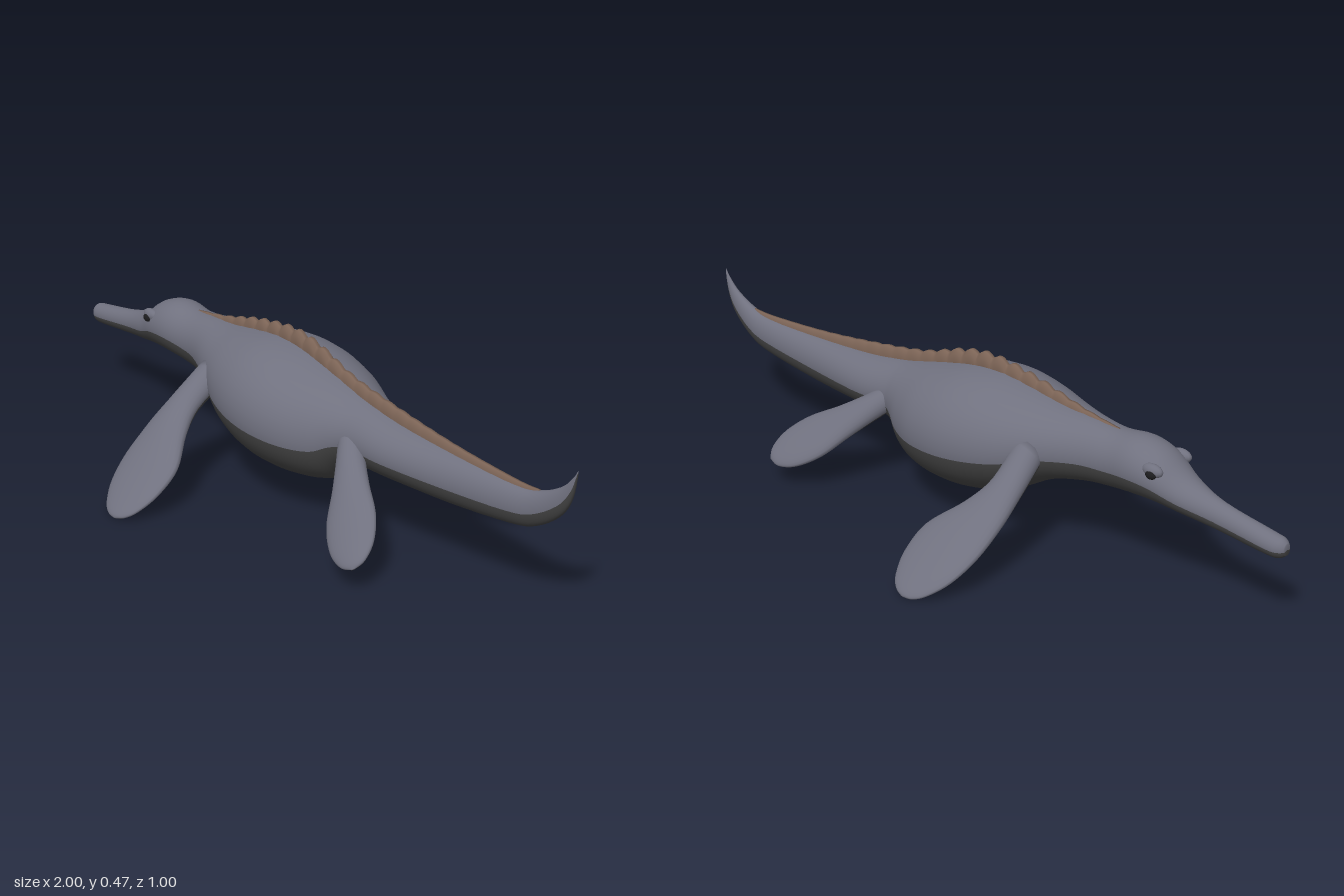
import * as THREE from 'three';

const mat = (name, color) => {
  const m = new THREE.MeshStandardMaterial({ color });
  m.name = name;
  return m;
};

// Smoothly resample rows of numbers, with `steps` samples between rows
function smoothRows(rows, steps) {
  const out = [];
  const last = rows.length - 1;
  for (let k = 0; k <= last * steps; k++) {
    const i = Math.min(Math.floor(k / steps), last - 1);
    const t = k / steps - i;
    const [a, b, c, d] = [i - 1, i, i + 1, i + 2].map(j => rows[Math.max(0, Math.min(last, j))]);
    out.push(b.map((_, n) => {
      const v0 = (c[n] - a[n]) / 2, v1 = (d[n] - b[n]) / 2;
      return (2 * b[n] - 2 * c[n] + v0 + v1) * t ** 3 +
        (3 * c[n] - 3 * b[n] - 2 * v0 - v1) * t * t + v0 * t + b[n];
    }));
  }
  return out;
}

// Skin closed rings of points; segments from `under` degrees downwards use material 1
function loft(rings, under = Infinity) {
  const n = rings[0].length;
  const pos = [], upper = [], lower = [];
  rings.forEach(r => r.forEach(p => pos.push(p.x, p.y, p.z)));
  const ends = [rings[0], rings[rings.length - 1]].map(r => {
    const c = new THREE.Vector3();
    r.forEach(p => c.addScaledVector(p, 1 / n));
    pos.push(c.x, c.y, c.z);
    return pos.length / 3 - 1;
  });
  const top = (rings.length - 1) * n;
  for (let j = 0; j < n; j++) {
    const k = (j + 1) % n;
    const isUnder = Math.sin((j + 0.5) / n * Math.PI * 2) < -Math.sin(under * Math.PI / 180);
    const list = under !== Infinity && isUnder ? lower : upper;
    for (let i = 0; i < rings.length - 1; i++) {
      const a = i * n + j, b = i * n + k;
      list.push(a, b, b + n, a, b + n, a + n);
    }
    list.push(ends[0], k, j, ends[1], top + j, top + k);
  }
  const g = new THREE.BufferGeometry();
  g.setAttribute('position', new THREE.Float32BufferAttribute(pos, 3));
  g.setIndex([...upper, ...lower]);
  g.addGroup(0, upper.length, 0);
  g.addGroup(upper.length, lower.length, 1);
  g.computeVertexNormals();
  return g;
}

function ring(n, fn) {
  return Array.from({ length: n }, (_, j) => {
    const a = j / n * Math.PI * 2;
    return fn(Math.cos(a), Math.sin(a));
  });
}

export function createModel() {
  const group = new THREE.Group();
  const skin = mat('slate skin', 0x70717f);
  const belly = mat('dark belly', 0x424242);
  const ridgeBrown = mat('brown ridge', 0x7c6456);
  const eyeBlack = mat('eye black', 0x1c1c1e);
  const add = (name, geometry, material) => {
    const m = new THREE.Mesh(geometry, material);
    m.name = name;
    group.add(m);
    return m;
  };

  // Snout, head, trunk and tail: x, top, bottom, half width
  const bodyRows = [
    [-1, 0.25, 0.22, 0.012], [-0.985, 0.262, 0.21, 0.024], [-0.95, 0.268, 0.208, 0.029],
    [-0.8, 0.295, 0.222, 0.032], [-0.7, 0.33, 0.235, 0.055], [-0.63, 0.378, 0.244, 0.074],
    [-0.56, 0.397, 0.243, 0.08], [-0.48, 0.39, 0.235, 0.074], [-0.4, 0.396, 0.225, 0.085],
    [-0.3, 0.405, 0.2, 0.125], [-0.2, 0.422, 0.145, 0.17], [-0.1, 0.434, 0.112, 0.196],
    [0, 0.428, 0.1, 0.2], [0.1, 0.406, 0.104, 0.18], [0.18, 0.385, 0.122, 0.143],
    [0.23, 0.372, 0.168, 0.113], [0.28, 0.362, 0.19, 0.095], [0.4, 0.345, 0.195, 0.086],
    [0.6, 0.332, 0.2, 0.055], [0.8, 0.328, 0.222, 0.035], [0.88, 0.338, 0.245, 0.026],
    [0.95, 0.373, 0.295, 0.016], [0.985, 0.408, 0.35, 0.008], [1, 0.432, 0.42, 0.002],
  ];
  const bodyRings = smoothRows(bodyRows, 4).map(([x, top, bottom, w]) => {
    const mid = bottom + (top - bottom) * 0.48;
    return ring(40, (c, s) => {
      // Fuller below than above
      const e = s < 0 ? 0.85 : 1;
      const z = -Math.sign(c) * Math.abs(c) ** e * w;
      return new THREE.Vector3(x, mid + s * (s < 0 ? mid - bottom : top - mid), z);
    });
  });
  add('body', loft(bodyRings, 13), [skin, belly]);

  // Scalloped crest along the back: x, top, half width, scallop height
  const crestRows = [
    [-0.48, 0.392, 0.006, 0], [-0.36, 0.408, 0.01, 0.004], [-0.2, 0.44, 0.013, 0.013],
    [-0.05, 0.458, 0.014, 0.014], [0.06, 0.442, 0.014, 0.013], [0.2, 0.402, 0.013, 0.007],
    [0.4, 0.372, 0.013, 0.003], [0.6, 0.35, 0.011, 0.001], [0.8, 0.339, 0.009, 0],
    [0.88, 0.342, 0.005, 0],
  ];
  const crestRings = smoothRows(crestRows, 24).map(([x, top, w, bump]) => {
    const y = top + bump * Math.abs(Math.sin(x * Math.PI / 0.052));
    return ring(10, (c, s) => new THREE.Vector3(x, y - 0.035 + s * 0.035, -c * w * 1.2));
  });
  add('backCrest', loft(crestRings), ridgeBrown);

  // Paddle limbs: x, y, z, half chord, half thickness
  function flipper(name, rows, slope, side) {
    const at = r => new THREE.Vector3(r[0], r[1], r[2] * side);
    const along = at(rows[rows.length - 1]).sub(at(rows[0])).normalize();
    const up = new THREE.Vector3(0, 1, slope * side).normalize();
    const chord = up.clone().cross(along).normalize();
    const rings = smoothRows(rows, 5).map(r => ring(24, (c, s) =>
      at(r).addScaledVector(chord, c * r[3]).addScaledVector(up, s * r[4])));
    add(name, loft(rings, 8), [skin, belly]);
  }
  const front = [
    [-0.27, 0.1, 0.045, 0.042], [-0.277, 0.2, 0.049, 0.034], [-0.262, 0.27, 0.07, 0.031],
    [-0.226, 0.35, 0.1, 0.027], [-0.208, 0.42, 0.092, 0.02], [-0.197, 0.47, 0.062, 0.013],
    [-0.193, 0.492, 0.032, 0.008], [-0.192, 0.499, 0.004, 0.002],
  ].map(([x, z, w, t]) => [x, 0.25 - (z - 0.17) * 0.74, z, w, t]);
  const rear = [
    [0.24, 0.04, 0.036, 0.034], [0.295, 0.092, 0.038, 0.033], [0.36, 0.147, 0.052, 0.029],
    [0.425, 0.2, 0.071, 0.024], [0.48, 0.243, 0.064, 0.018], [0.515, 0.27, 0.036, 0.011],
    [0.527, 0.279, 0.004, 0.002],
  ].map(([x, z, w, t]) => [x, 0.24 - (z - 0.1) * 0.93, z, w, t]);

  for (const side of [1, -1]) {
    const label = side > 0 ? 'Left' : 'Right';
    flipper('frontFlipper' + label, front, 0.74, side);
    flipper('rearFlipper' + label, rear, 0.93, side);

    // Brow and eye on the side of the head
    const brow = add('brow' + label, new THREE.SphereGeometry(1, 16, 10), skin);
    brow.scale.set(0.032, 0.018, 0.016);
    brow.position.set(-0.63, 0.345, 0.058 * side);
    const eye = add('eye' + label, new THREE.SphereGeometry(1, 16, 10), eyeBlack);
    eye.scale.set(0.016, 0.012, 0.01);
    eye.position.set(-0.634, 0.338, 0.069 * side);
  }
  return group;
}
